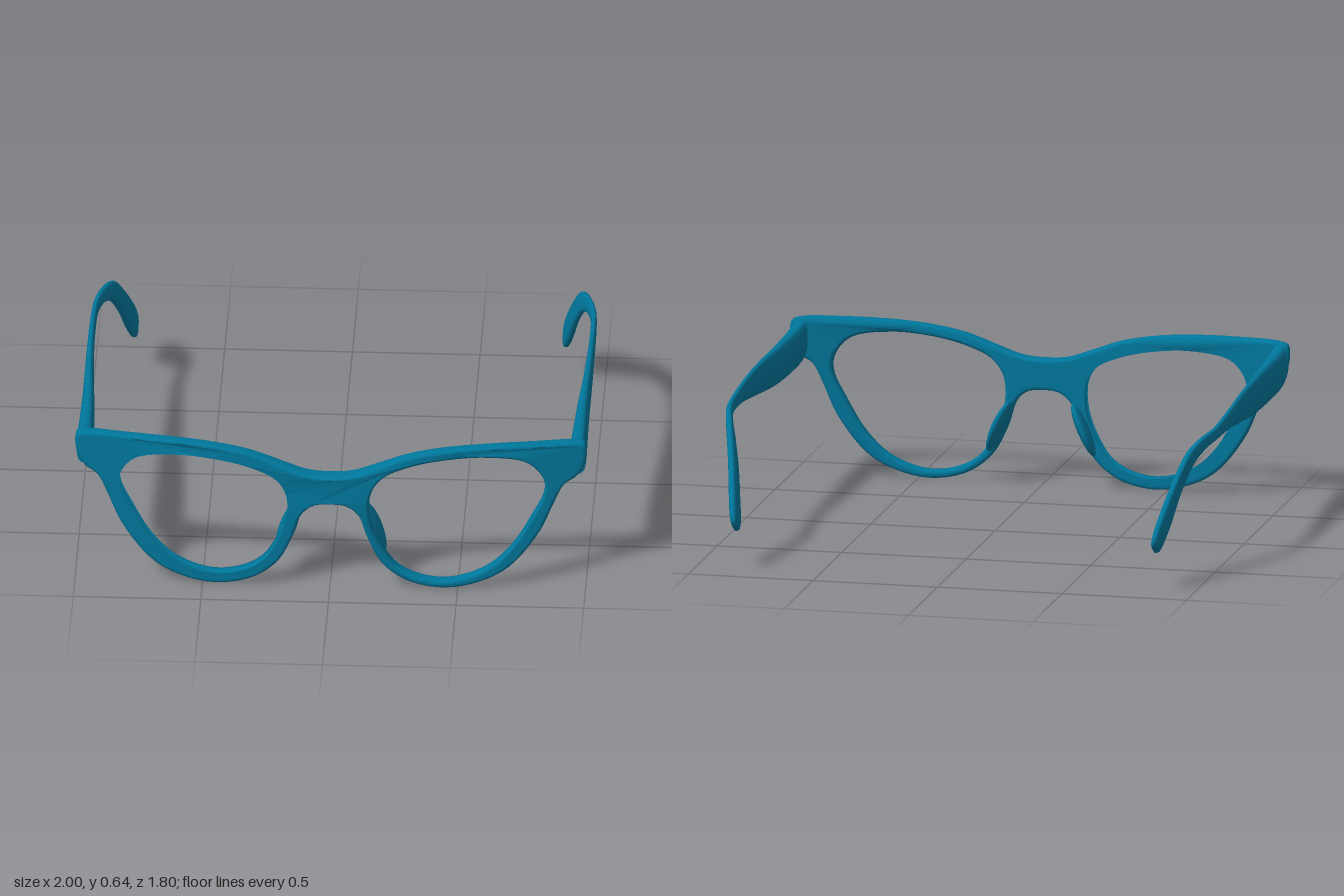
import * as THREE from 'three';
import { mergeVertices } from 'three/addons/utils/BufferGeometryUtils.js';

const teal = new THREE.MeshStandardMaterial({ color: 0x00779c, side: THREE.DoubleSide });
teal.name = 'teal';

// Smooth closed outline through [x, y] points
function outline(points, count) {
  const curve = new THREE.CatmullRomCurve3(points.map(([x, y]) => new THREE.Vector3(x, y, 0)), true, 'centripetal');
  return curve.getPoints(count).slice(0, -1).map((p) => new THREE.Vector2(p.x, p.y));
}

function smooth(geometry) {
  geometry.deleteAttribute('uv');
  geometry.deleteAttribute('normal');
  const merged = mergeVertices(geometry, 1e-4);
  merged.computeVertexNormals();
  return merged;
}

function named(geometry, name) {
  const mesh = new THREE.Mesh(geometry, teal);
  mesh.name = name;
  return mesh;
}

// Cat-eye front with two lens openings, bowed back towards the hinges, fuller at the bridge
function frontFrame() {
  const half = [
    [0.09, 0.508], [0.18, 0.54], [0.31, 0.588], [0.45, 0.616], [0.6, 0.63], [0.8, 0.636], [0.97, 0.633],
    [0.997, 0.62], [0.996, 0.54], [0.965, 0.485], [0.915, 0.45], [0.875, 0.37], [0.82, 0.245], [0.71, 0.1],
    [0.61, 0.037], [0.46, 0.002], [0.31, 0.03], [0.205, 0.11], [0.143, 0.235], [0.112, 0.325], [0.065, 0.368],
  ];
  const mirrored = half.map(([x, y]) => [-x, y]).reverse();
  const shape = new THREE.Shape(outline([[0, 0.5], ...half, [0, 0.377], ...mirrored], 200));
  const lens = [
    [0.835, 0.475], [0.77, 0.555], [0.61, 0.583], [0.45, 0.572], [0.31, 0.54], [0.205, 0.49], [0.16, 0.42],
    [0.157, 0.315], [0.19, 0.21], [0.26, 0.1], [0.355, 0.048], [0.47, 0.036], [0.61, 0.085], [0.71, 0.18],
    [0.79, 0.315], [0.835, 0.41],
  ];
  for (const s of [-1, 1]) {
    shape.holes.push(new THREE.Path(outline(lens.map(([x, y]) => [s * x, y]), 90)));
  }
  const bevel = 0.013;
  const geometry = new THREE.ExtrudeGeometry(shape, {
    depth: 0.022, bevelThickness: bevel, bevelSize: bevel, bevelOffset: -bevel, bevelSegments: 3,
  });
  const pos = geometry.attributes.position;
  for (let i = 0; i < pos.count; i++) {
    const x = Math.abs(pos.getX(i)), z = pos.getZ(i);
    const bridge = z > 0 ? 1 + 0.7 * Math.exp(-((x / 0.19) ** 2)) : 1;
    pos.setZ(i, 0.841 + z * bridge - 0.072 * x ** 3);
  }
  return smooth(geometry);
}

// Temple arm lofted along sections: top z, top y, bottom z, bottom y, centre x, half thickness
function temple(side) {
  const sections = [
    [0.787, 0.63, 0.787, 0.485, 0.964, 0.033], [0.73, 0.616, 0.73, 0.462, 0.965, 0.033],
    [0.4, 0.604, 0.4, 0.455, 0.969, 0.024], [0.2, 0.6, 0.2, 0.467, 0.975, 0.018],
    [0, 0.593, 0, 0.488, 0.979, 0.014], [-0.2, 0.576, -0.2, 0.506, 0.98, 0.012],
    [-0.4, 0.556, -0.38, 0.505, 0.973, 0.012], [-0.52, 0.542, -0.49, 0.488, 0.95, 0.014],
    [-0.63, 0.506, -0.57, 0.446, 0.922, 0.016], [-0.74, 0.405, -0.65, 0.35, 0.89, 0.017],
    [-0.83, 0.31, -0.73, 0.235, 0.866, 0.018], [-0.89, 0.235, -0.783, 0.172, 0.85, 0.017],
    [-0.9, 0.196, -0.82, 0.148, 0.844, 0.013], [-0.873, 0.162, -0.85, 0.15, 0.843, 0.005],
  ];
  const spline = (a, b, c) => new THREE.CatmullRomCurve3(sections.map((r) => new THREE.Vector3(r[a], r[b], r[c])));
  const top = spline(0, 1, 4), bottom = spline(2, 3, 5);
  const steps = (sections.length - 1) * 4, ring = 20;
  const vertices = [], index = [];
  for (let i = 0; i <= steps; i++) {
    const t = top.getPoint(i / steps), b = bottom.getPoint(i / steps);
    for (let k = 0; k < ring; k++) {
      const angle = (k / ring) * Math.PI * 2;
      const round = (v) => Math.sign(v) * Math.pow(Math.abs(v), 0.7);
      const up = round(Math.cos(angle)), out = round(Math.sin(angle));
      vertices.push(
        side * (t.z + out * b.z),
        (t.y + b.y) / 2 + (up * (t.y - b.y)) / 2,
        (t.x + b.x) / 2 + (up * (t.x - b.x)) / 2,
      );
    }
  }
  const face = (a, b, c) => (side > 0 ? index.push(a, b, c) : index.push(a, c, b));
  for (let i = 0; i < steps; i++) {
    for (let k = 0; k < ring; k++) {
      const a = i * ring + k, b = i * ring + ((k + 1) % ring);
      face(a, b, a + ring);
      face(b, b + ring, a + ring);
    }
  }
  // End caps
  const last = steps * ring;
  for (let k = 1; k < ring - 1; k++) {
    face(0, k + 1, k);
    face(last, last + k, last + k + 1);
  }
  const geometry = new THREE.BufferGeometry();
  geometry.setAttribute('position', new THREE.Float32BufferAttribute(vertices, 3));
  geometry.setIndex(index);
  geometry.computeVertexNormals();
  return geometry;
}

export function createModel() {
  const model = new THREE.Group();
  model.name = 'eyeglasses';
  model.add(named(frontFrame(), 'frontFrame'));
  for (const side of [-1, 1]) {
    const label = side > 0 ? 'left' : 'right';
    model.add(named(temple(side), label + 'Temple'));
    // Nose pad following the inner rim, splayed outwards at the bottom
    const pad = named(new THREE.SphereGeometry(1, 24, 16), label + 'NosePad');
    pad.scale.set(0.023, 0.112, 0.075);
    pad.position.set(side * 0.168, 0.232, 0.805);
    pad.rotation.set(0, side * -0.2, side * 0.4);
    model.add(pad);
  }
  return model;
}
